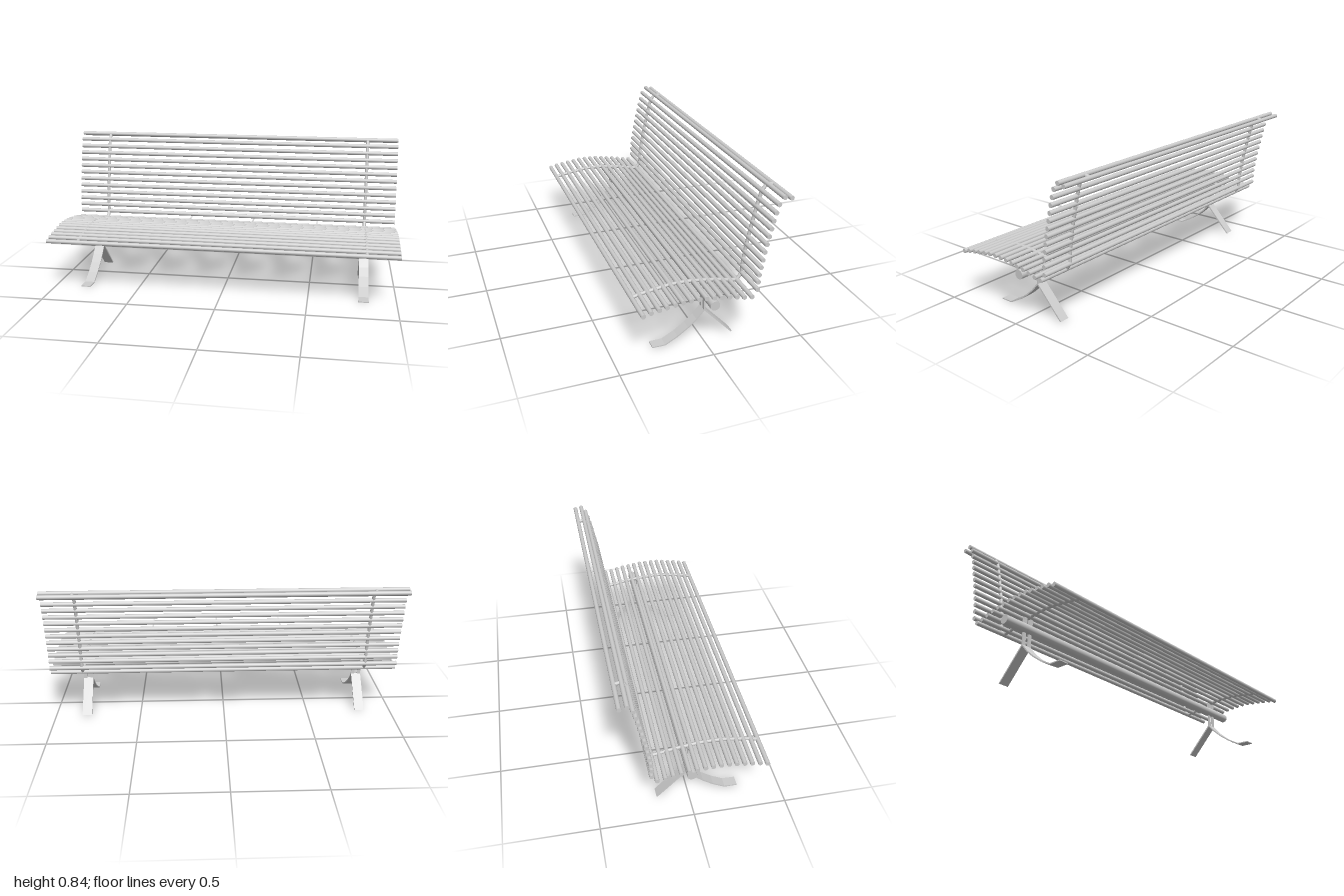
import * as THREE from 'three';

const material = new THREE.MeshStandardMaterial({ color: 0xcccccc });

// Slat centres as [z, y], from the front of the seat to the top of the back
const SLATS = [
  [0.377, 0.31], [0.337, 0.321], [0.295, 0.328], [0.255, 0.334], [0.213, 0.34],
  [0.173, 0.345], [0.131, 0.346], [0.09, 0.345], [0.05, 0.343], [0.008, 0.337],
  [-0.032, 0.331], [-0.074, 0.325], [-0.115, 0.316], [-0.156, 0.306], [-0.198, 0.3],
  [-0.226, 0.337], [-0.227, 0.379], [-0.23, 0.419], [-0.237, 0.46], [-0.244, 0.501],
  [-0.251, 0.543], [-0.26, 0.584], [-0.269, 0.625], [-0.278, 0.666], [-0.287, 0.707],
  [-0.298, 0.748], [-0.31, 0.79], [-0.337, 0.824], [-0.375, 0.815],
];
const LEG_X = 0.817;
const LEG_WIDTH = 0.056;
const HUB_Z = -0.011;

function addMesh(parent, name, geometry, x = 0, y = 0, z = 0) {
  const mesh = new THREE.Mesh(geometry, material);
  mesh.name = name;
  mesh.position.set(x, y, z);
  parent.add(mesh);
  return mesh;
}

// Round bar running along x
function barX(radius, length, sides) {
  return new THREE.CylinderGeometry(radius, radius, length, sides).rotateZ(Math.PI / 2);
}

// Flat strip following a [z, y] path, with its width along x
function strip(path, thickness, width) {
  const pts = path.map(([z, y]) => new THREE.Vector2(z, y));
  const offset = (side) => pts.map((p, i) => {
    const a = pts[Math.max(i - 1, 0)];
    const b = pts[Math.min(i + 1, pts.length - 1)];
    const d = b.clone().sub(a).normalize();
    const q = new THREE.Vector2(-d.y, d.x).multiplyScalar(side * thickness / 2).add(p);
    q.y = Math.max(q.y, 0);
    return q;
  });
  const shape = new THREE.Shape([...offset(1), ...offset(-1).reverse()]);
  return new THREE.ExtrudeGeometry(shape, { depth: width, bevelEnabled: false })
    .translate(0, 0, -width / 2)
    .rotateY(-Math.PI / 2);
}

function createSupportRib(x) {
  const rib = new THREE.Group();
  rib.name = 'supportRib';
  rib.position.x = x;
  const up = new THREE.Vector3(0, 1, 0);
  for (let i = 0; i < SLATS.length - 1; i++) {
    const a = new THREE.Vector3(0, SLATS[i][1], SLATS[i][0]);
    const b = new THREE.Vector3(0, SLATS[i + 1][1], SLATS[i + 1][0]);
    const d = b.clone().sub(a);
    const link = addMesh(rib, 'ribLink', new THREE.CylinderGeometry(0.0095, 0.0095, d.length(), 12));
    link.position.copy(a.add(b).multiplyScalar(0.5));
    link.quaternion.setFromUnitVectors(up, d.normalize());
  }
  return rib;
}

function createLeg(x) {
  const leg = new THREE.Group();
  leg.name = 'leg';
  leg.position.x = x;
  // Curved front leg ending in a flat foot
  addMesh(leg, 'frontLeg', strip([
    [HUB_Z, 0.172], [0.032, 0.123], [0.078, 0.082], [0.137, 0.04], [0.205, 0.003], [0.275, 0.002],
  ], 0.007, LEG_WIDTH));
  // Straight rear leg
  addMesh(leg, 'rearLeg', strip([[HUB_Z, 0.172], [-0.171, 0.001]], 0.009, LEG_WIDTH));
  // Slotted upright: two prongs below the beam, paired thin straps above it
  for (const side of [-1, 1]) {
    const px = side * 0.0185;
    addMesh(leg, 'uprightProng', new THREE.BoxGeometry(0.019, 0.09, 0.009), px, 0.213, HUB_Z);
    for (const dz of [-0.0065, 0.0065]) {
      addMesh(leg, 'seatStrap', new THREE.BoxGeometry(0.019, 0.055, 0.003), px, 0.307, HUB_Z + dz);
    }
  }
  return leg;
}

export function createModel() {
  const bench = new THREE.Group();
  bench.name = 'bench';

  // Round slats of seat and back
  const slatGeometry = barX(0.0122, 2, 16);
  SLATS.forEach(([z, y], i) => addMesh(bench, i < 15 ? 'seatSlat' : 'backSlat', slatGeometry, 0, y, z));

  // Main beam under the seat
  addMesh(bench, 'beam', barX(0.026, 1.94, 32), 0, 0.27, HUB_Z);

  for (const side of [-1, 1]) {
    bench.add(createSupportRib(side * LEG_X), createLeg(side * LEG_X));
  }
  return bench;
}
